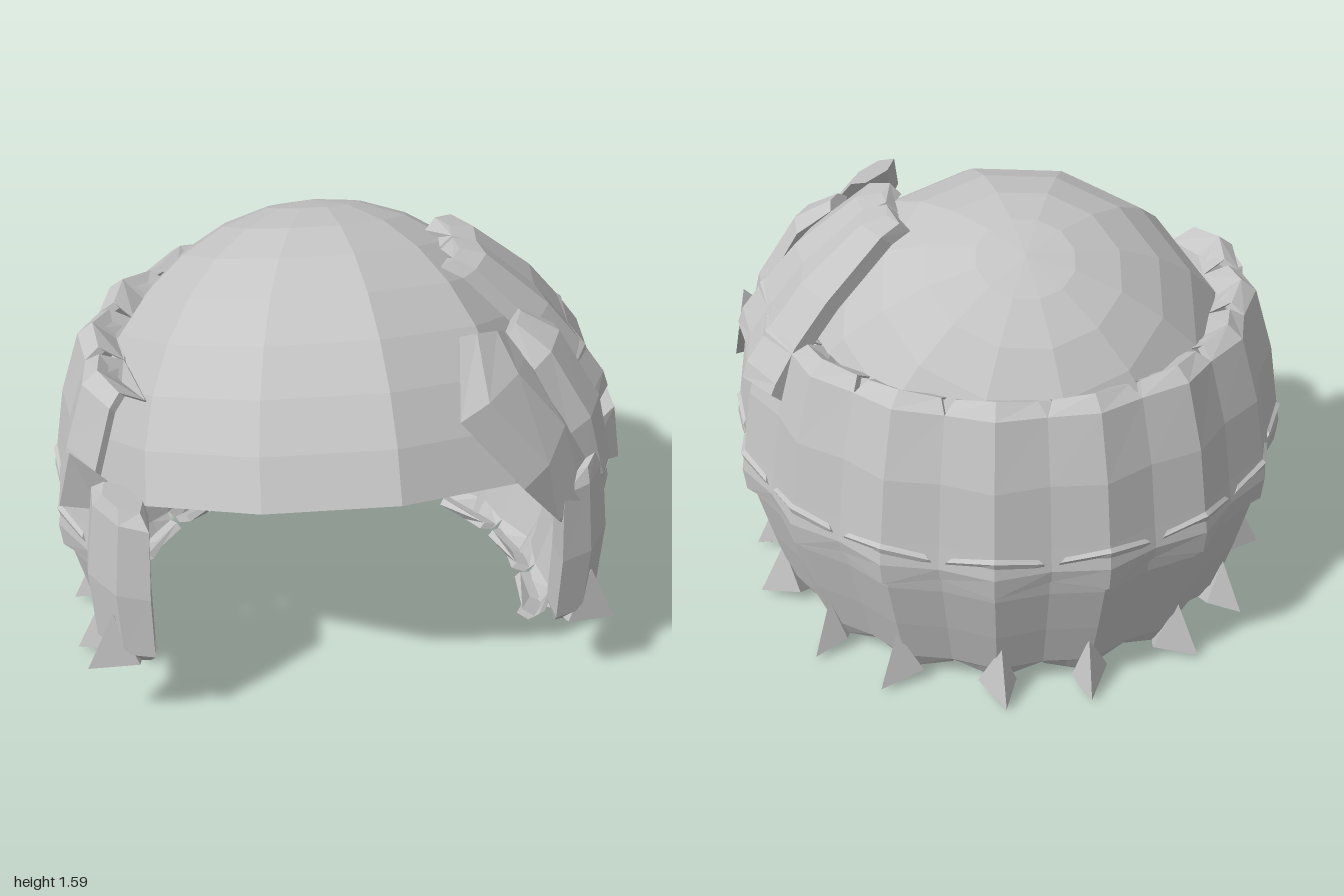
import * as THREE from 'three';
import { ConvexGeometry } from 'three/addons/geometries/ConvexGeometry.js';

const V = (x, y, z) => new THREE.Vector3(x, y, z);
const CENTRE = V(0, 0.665, 0.068);
const STEP = Math.PI / 8; // sixteen strands would make a full circle

export function createModel() {
  const hair = new THREE.MeshStandardMaterial({ color: 0xc4c4c4, flatShading: true, side: THREE.DoubleSide });
  hair.name = 'hair grey';
  const model = new THREE.Group();
  model.name = 'hair';

  const add = (name, geometry) => {
    const mesh = new THREE.Mesh(geometry, hair);
    mesh.name = name;
    model.add(mesh);
  };

  // Closed skin over a list of equal rings, running from root to tip
  const loft = (rings) => {
    const n = rings[0].length, pos = [];
    const tri = (a, b, c) => pos.push(...a.toArray(), ...b.toArray(), ...c.toArray());
    for (let i = 0; i < rings.length - 1; i++) {
      const up = rings[i], lo = rings[i + 1];
      for (let j = 0; j < n; j++) {
        const k = (j + 1) % n;
        tri(lo[j], lo[k], up[k]);
        tri(lo[j], up[k], up[j]);
      }
    }
    const first = rings[0], last = rings[rings.length - 1];
    for (let j = 1; j < n - 1; j++) {
      tri(first[0], first[j], first[j + 1]);
      tri(last[0], last[j + 1], last[j]);
    }
    const g = new THREE.BufferGeometry();
    g.setAttribute('position', new THREE.Float32BufferAttribute(pos, 3));
    g.computeVertexNormals();
    return g;
  };

  // Point around the head, angle measured from +x towards the back
  const around = (angle, r, y) => V(1.025 * r * Math.cos(angle), y, 0.09 - r * Math.sin(angle));

  // Thin ridged strand; sections are [y, ridge radius, width, rise of the side edges]
  const strand = (name, angle, sections, inset = 0.02) => {
    add(name, loft(sections.map(([y, r, w = 1, rise = 0]) => {
      const a = w * STEP / 2, e = r * (1 - 0.04 * w);
      return [
        around(angle - a, e, y + rise), around(angle, r, y), around(angle + a, e, y + rise),
        around(angle + a, e - inset, y + rise - inset),
        around(angle, r - inset, y - inset),
        around(angle - a, e - inset, y + rise - inset),
      ];
    })));
  };

  // Free lock laid over the head; points are [x, y, z, half width, thickness]
  const lock = (name, side, points) => {
    const p = points.map((q) => V(q[0] * side, q[1], q[2]));
    add(name, loft(p.map((c, i) => {
      const t = p[Math.min(i + 1, p.length - 1)].clone().sub(p[Math.max(i - 1, 0)]).normalize();
      const n = c.clone().sub(CENTRE).setY((c.y - CENTRE.y) * 0.8);
      n.addScaledVector(t, -n.dot(t)).normalize();
      const s = n.clone().cross(t), [, , , w, h] = points[i];
      const at = (a, b) => c.clone().addScaledVector(s, a * w).addScaledVector(n, b * h);
      return [at(-1, 0), at(-0.45, 0.5), at(0.45, 0.5), at(1, 0), at(0.5, -0.5), at(-0.5, -0.5)];
    })));
  };

  const spike = (name, points) => add(name, new ConvexGeometry(points));

  // Scalp cap, tipped backwards
  const dome = new THREE.SphereGeometry(1, 12, 8, THREE.MathUtils.degToRad(7.5), Math.PI * 2, 0, Math.PI / 2);
  dome.scale(0.885, 0.95, 0.885);
  dome.rotateX(THREE.MathUtils.degToRad(-23.3));
  dome.translate(CENTRE.x, CENTRE.y, CENTRE.z);
  add('scalpCap', dome);

  // Two tiers of strands round the sides and back, each ending in a spike
  const upper = [
    [1.17, 0.74], [1.235, 0.82, 0.85, -0.02], [1.19, 0.875, 1, -0.01], [0.95, 0.945], [0.72, 0.98],
    [0.63, 0.995], [0.54, 0.985, 1, 0.04], [0.51, 0.94, 0.95, 0.06],
  ];
  const lower = [
    [0.73, 0.96, 0.6, -0.02], [0.7, 0.995, 0.85, -0.03], [0.6, 0.965], [0.5, 0.95],
    [0.3, 0.9], [0.11, 0.845], [0.03, 0.8, 0.9, 0.035], [0.05, 0.75, 0.8, 0.03],
  ];
  for (let i = -1; i < 9; i++) {
    const a = (i + 0.5) * STEP;
    strand('upperStrand', a, upper);
    strand('lowerStrand', a, lower);
    const turn = i % 2 ? 0.04 : -0.04;
    spike('strandSpike', [
      around(a + turn * 0.5, 0.87, 0.23), around(a - 0.08, 0.84, 0.05), around(a + 0.08, 0.84, 0.06),
      around(a, 0.77, 0.015), around(a + turn, 0.96, 0.025),
    ]);
  }

  // Top tier on the left side only
  const top = [
    [1.56, 0.43, 0.9], [1.54, 0.52, 1.15], [1.35, 0.74, 1.1], [1.2, 0.86],
    [1.08, 0.945], [1.02, 0.965, 1, 0.02], [0.98, 0.92, 0.9, 0.05],
  ];
  for (const i of [-1, 0]) strand('topStrand', (i + 0.5) * STEP, top, 0.04);

  // Sideburn locks with their spikes, mirrored
  for (const s of [-1, 1]) {
    lock('sideLock', s, [
      [0.78, 0.95, 0.6, 0.1, 0.1], [0.79, 0.9, 0.6, 0.16, 0.12], [0.81, 0.62, 0.6, 0.18, 0.14],
      [0.8, 0.36, 0.6, 0.17, 0.13], [0.78, 0.3, 0.59, 0.11, 0.08],
    ]);
    spike('sideLockSpike', [
      V(s * 0.84, 0.52, 0.68), V(s * 0.76, 0.32, 0.72), V(s * 0.86, 0.34, 0.56),
      V(s * 0.74, 0.3, 0.62), V(s * 0.94, 0.29, 0.68),
    ]);
    spike('templeSpike', [
      V(s * 0.94, 1.05, 0.46), V(s * 0.82, 0.93, 0.47), V(s * 0.86, 0.8, 0.45),
      V(s * 0.99, 0.8, 0.41), V(s * 0.97, 1.01, s > 0 ? 0.24 : 0.4),
    ]);
  }

  // Swept fringe on the left side
  lock('frontFringe', 1, [
    [0.43, 1.45, 0.56, 0.1, 0.05], [0.45, 1.3, 0.67, 0.19, 0.1], [0.63, 1.06, 0.67, 0.18, 0.12],
    [0.76, 0.85, 0.62, 0.15, 0.12], [0.79, 0.75, 0.6, 0.1, 0.07],
  ]);
  lock('rearFringe', 1, [
    [0.57, 1.4, 0.42, 0.08, 0.06], [0.67, 1.32, 0.46, 0.14, 0.1], [0.8, 1.08, 0.5, 0.15, 0.12],
    [0.86, 0.86, 0.52, 0.13, 0.1], [0.87, 0.76, 0.52, 0.06, 0.05],
  ]);

  return model;
}
